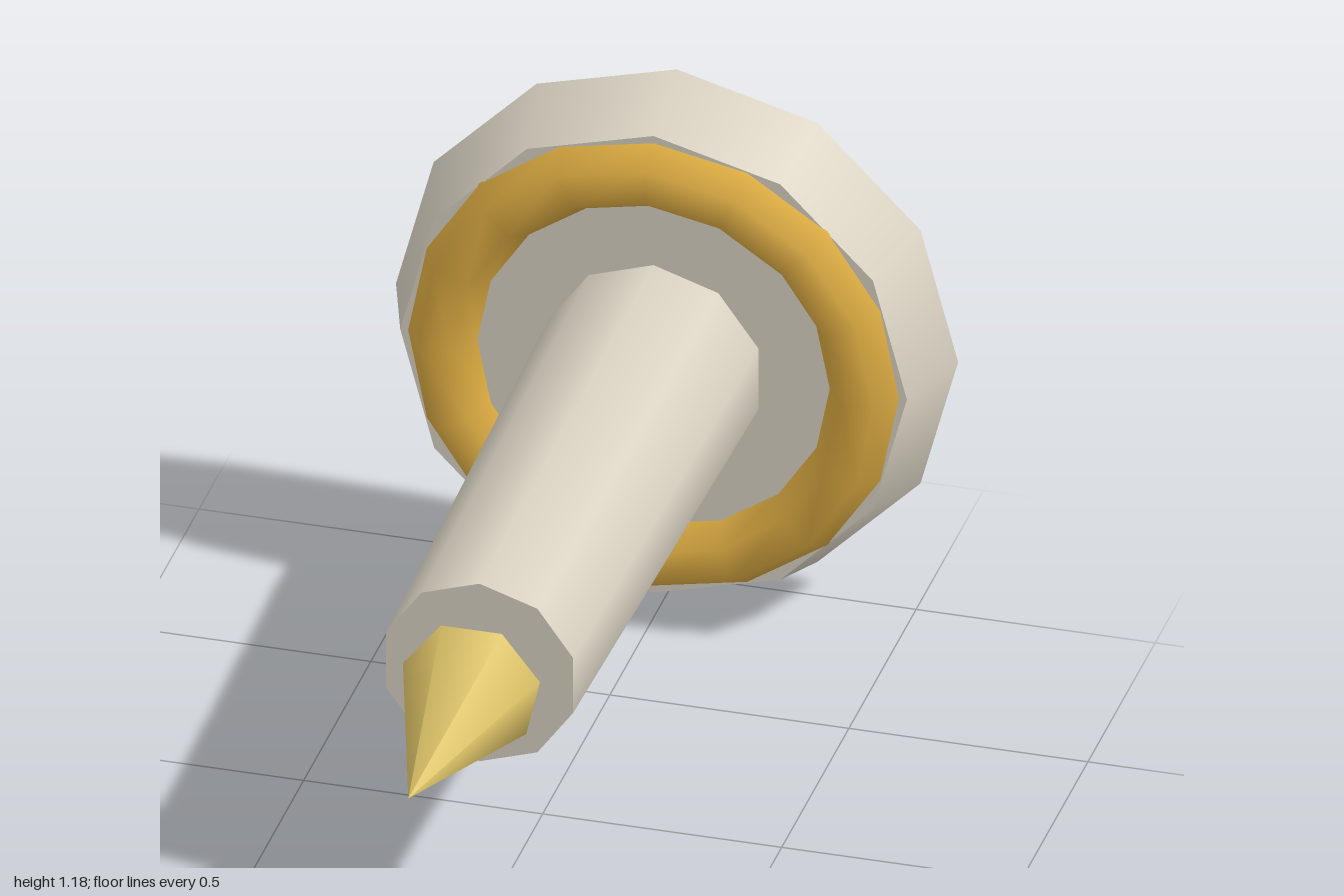
import * as THREE from 'three';

const AXIS_Y = 0.588; // height of the common axis

const material = (color) => new THREE.MeshStandardMaterial({ color });
const cream = material(0xd9d2c2);
const gold = material(0xd9a941);
const paleGold = material(0xdcc266);

// Tapered round part lying along z, from its back end to its front end
function turned(name, backRadius, frontRadius, backZ, frontZ, sides, mat) {
  const geometry = new THREE.CylinderGeometry(frontRadius, backRadius, frontZ - backZ, sides);
  geometry.rotateX(Math.PI / 2);
  const mesh = new THREE.Mesh(geometry, mat);
  mesh.name = name;
  mesh.position.set(0, AXIS_Y, (backZ + frontZ) / 2);
  return mesh;
}

export function createModel() {
  const group = new THREE.Group();
  group.name = 'pin';

  // Wide head at the back and the long shaft growing out of it
  group.add(turned('head', 0.588, 0.53, -1, -0.825, 12, cream));
  group.add(turned('shaft', 0.231, 0.206, -0.86, 0.47, 10, cream));

  // Ring half sunk into the front face of the head
  const ring = new THREE.Mesh(new THREE.TorusGeometry(0.441, 0.0735, 6, 16), gold);
  ring.name = 'ring';
  ring.position.set(0, AXIS_Y, -0.827);
  group.add(ring);

  // Pointed tip, floating just ahead of the shaft
  const cone = new THREE.ConeGeometry(0.147, 0.47, 7);
  cone.rotateX(Math.PI / 2);
  const tip = new THREE.Mesh(cone, paleGold);
  tip.name = 'tip';
  tip.position.set(0, AXIS_Y, 0.765);
  group.add(tip);

  return group;
}
